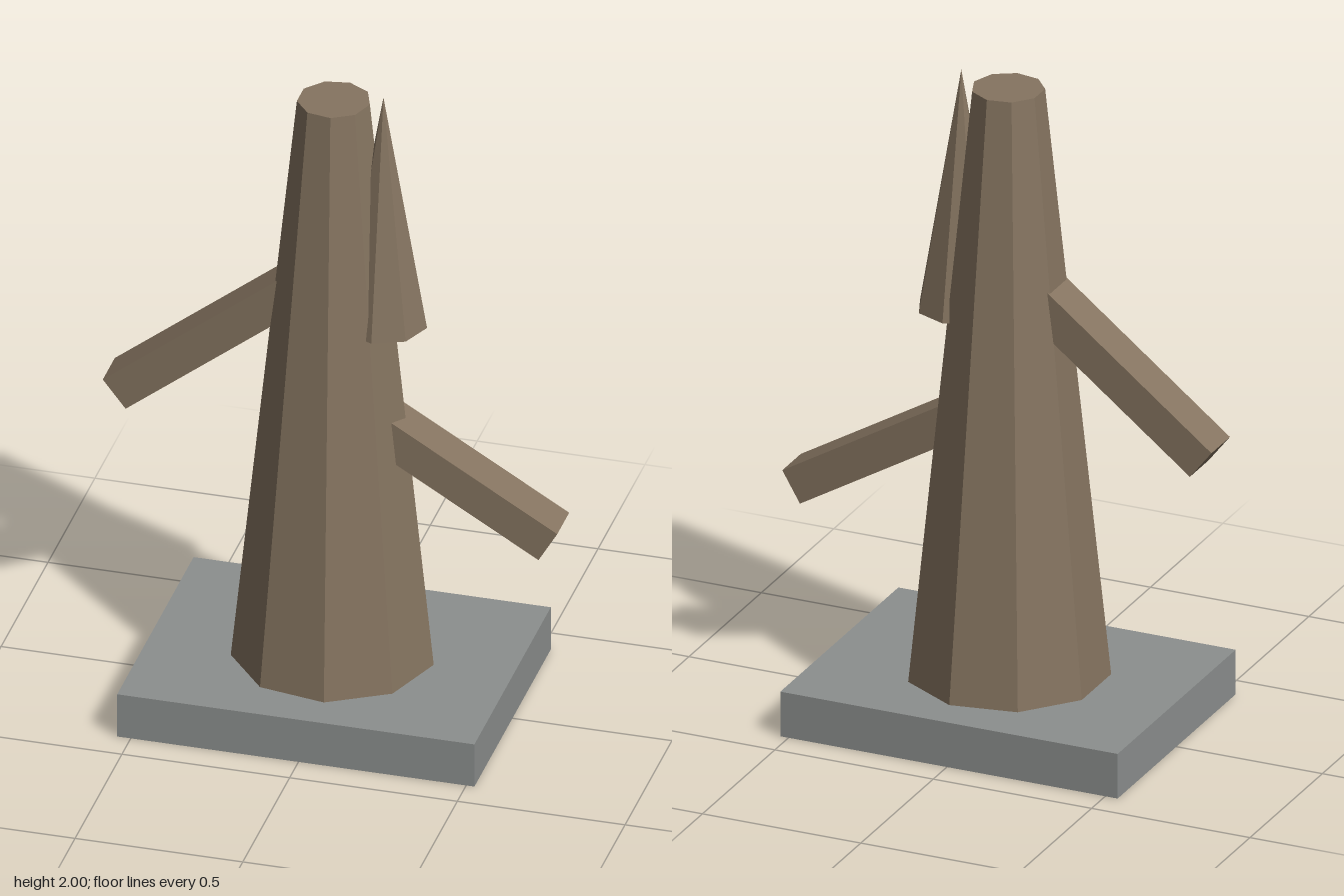
import * as THREE from 'three';

const CX = -0.0075; // trunk and plinth axis

export function createModel() {
  const wood = new THREE.MeshStandardMaterial({ color: 0x857460, flatShading: true });
  wood.name = 'wood';
  const stone = new THREE.MeshStandardMaterial({ color: 0x8c8f8e, flatShading: true });
  stone.name = 'stone';

  const group = new THREE.Group();
  group.name = 'treeStump';
  const add = (name, geometry, material, x, y) => {
    const mesh = new THREE.Mesh(geometry, material);
    mesh.name = name;
    mesh.position.set(x, y, 0);
    group.add(mesh);
    return mesh;
  };

  // Square plinth
  add('plinth', new THREE.BoxGeometry(1.065, 0.14, 0.815), stone, CX, 0.07);

  // Nine-sided tapering trunk, through the plinth, with one edge facing +x
  const trunkHeight = 1.971;
  add('trunk', new THREE.CylinderGeometry(0.107, 0.312, trunkHeight, 9, 1, false, Math.PI / 2),
    wood, CX, trunkHeight / 2 - 0.001);

  // Eight-sided splinter, half sunk in the trunk
  add('splinter', new THREE.ConeGeometry(0.13, 0.745, 8), wood, 0.14, 1.6275);

  // Drooping branch: a square bar from the outer end's centre back into the trunk
  const addBranch = (name, endX, endY, angle, length) => {
    const dx = Math.cos(angle), dy = Math.sin(angle);
    const bar = add(name, new THREE.BoxGeometry(length, 0.11, 0.128), wood,
      endX - dx * length / 2, endY - dy * length / 2);
    bar.rotation.z = angle;
  };
  const deg = Math.PI / 180;
  addBranch('leftBranch', 0.648, 0.622, -30.5 * deg, 0.62);
  addBranch('rightBranch', -0.645, 0.928, (180 + 38.2) * deg, 0.72);

  return group;
}
